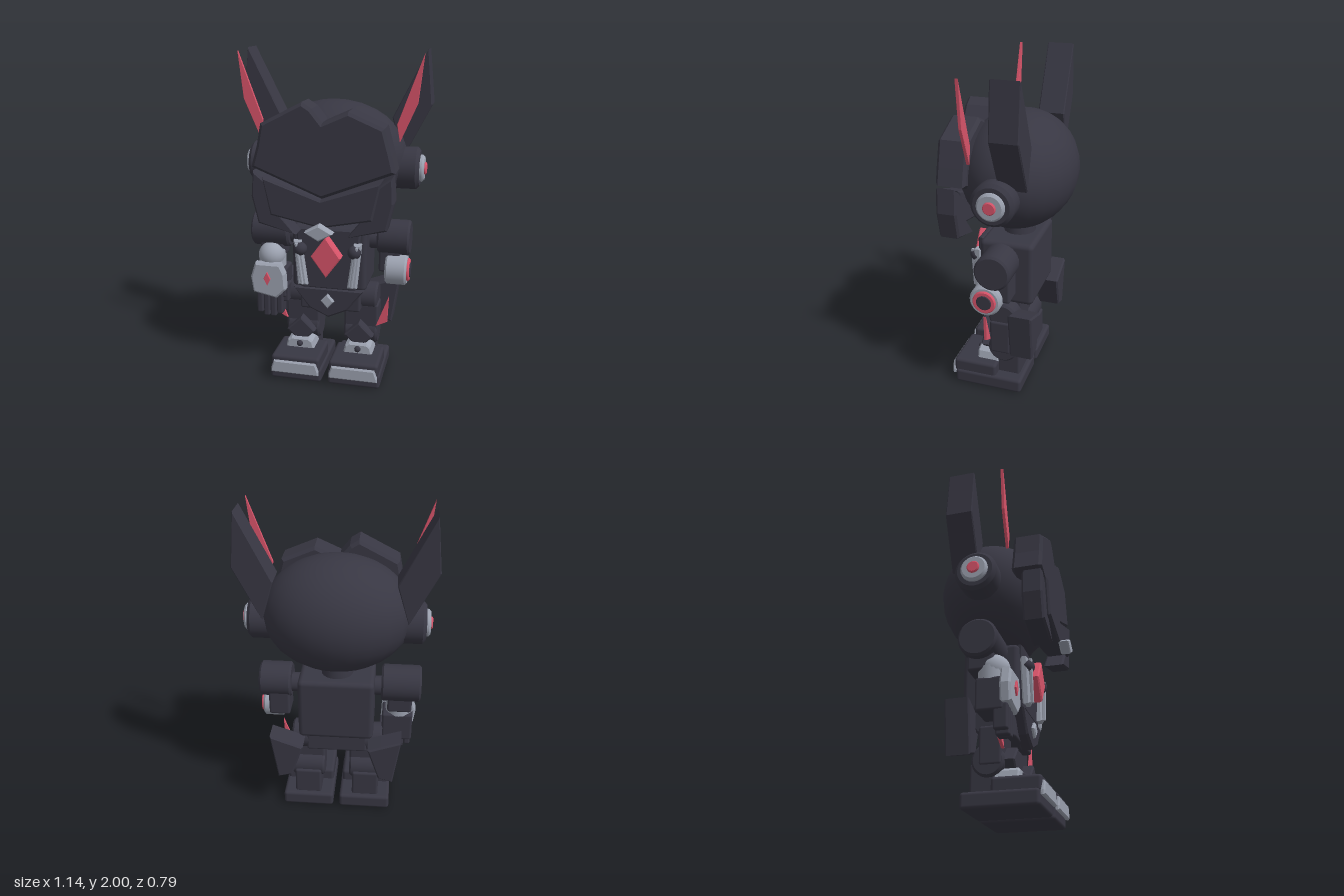
import * as THREE from 'three';
import { RoundedBoxGeometry } from 'three/addons/geometries/RoundedBoxGeometry.js';

const mat = (name, color) => Object.assign(new THREE.MeshStandardMaterial({ color }), { name });

export function createModel() {
  const root = new THREE.Group();
  root.name = 'robot';
  const dark = mat('charcoal', 0x383743), red = mat('crimson', 0xd8546a), grey = mat('steel grey', 0x9ca2b0);

  const add = (name, geo, m, x = 0, y = 0, z = 0) => {
    const mesh = new THREE.Mesh(geo, m);
    mesh.name = name;
    mesh.position.set(x, y, z);
    root.add(mesh);
    return mesh;
  };
  // Bevelled plate: outline in x/y, extruded from z0 to z1, optionally mirrored
  const plate = (name, m, pts, z0, z1, b = 0.012, side = 1) => {
    const shape = new THREE.Shape(pts.map(([x, y]) => new THREE.Vector2(x * side, y)));
    const geo = new THREE.ExtrudeGeometry(shape, {
      depth: z1 - z0 - 2 * b, bevelEnabled: b > 0, bevelThickness: b, bevelSize: b, bevelOffset: -b, bevelSegments: 1,
    });
    return add(name, geo, m, 0, 0, z0 + b);
  };
  const diamond = (name, m, x, y, w, h, z0, z1, b = 0.008) =>
    plate(name, m, [[x, y - h], [x + w, y], [x, y + h], [x - w, y]], z0, z1, b);
  const box = (name, m, x0, x1, y0, y1, z0, z1, r = 0.015) =>
    add(name, new RoundedBoxGeometry(x1 - x0, y1 - y0, z1 - z0, 2, r), m, (x0 + x1) / 2, (y0 + y1) / 2, (z0 + z1) / 2);
  // Chamfered drum lying along x
  const drum = (name, m, x0, x1, y, z, r, c = 0.012) => {
    const l = Math.abs(x1 - x0) / 2;
    const p = [[0, -l], [r - c, -l], [r - c, -l], [r, c - l], [r, c - l], [r, l - c], [r, l - c], [r - c, l], [r - c, l], [0, l]];
    const mesh = add(name, new THREE.LatheGeometry(p.map(([a, b]) => new THREE.Vector2(a, b)), 28), m, (x0 + x1) / 2, y, z);
    mesh.rotation.z = Math.PI / 2;
    return mesh;
  };

  // Head and helmet
  add('head', new THREE.SphereGeometry(1, 24, 16), dark, 0, 1.365, -0.05).scale.set(0.44, 0.345, 0.345);
  plate('helmetCrest', dark, [[0, 1.195], [0.415, 1.36], [0.39, 1.46], [0.35, 1.605], [0.15, 1.69], [0.005, 1.625],
    [-0.055, 1.7], [-0.11, 1.735], [-0.35, 1.61], [-0.375, 1.48], [-0.41, 1.36]], 0.135, 0.315, 0.018);
  plate('visor', dark, [[-0.34, 1.31], [0, 1.195], [0.34, 1.31], [0.295, 1.09], [0, 1.03], [-0.295, 1.09]], 0.2, 0.338);
  diamond('chin', grey, 0, 1.018, 0.083, 0.048, 0.335, 0.395);
  add('neck', new THREE.CylinderGeometry(0.09, 0.1, 0.12, 20), dark, 0, 0.99, -0.05);

  for (const s of [1, -1]) {
    plate('cheekGuard', dark, [[0.4, 1.34], [0.412, 1.19], [0.375, 1.03], [0.15, 0.975], [0.25, 1.1], [0.28, 1.25]], 0.195, 0.318, 0.012, s);
    // Ears
    plate('earBlade', dark, [[0.535, 2], [0.568, 1.69], [0.41, 1.38], [0.34, 1.61]], -0.22, -0.057, 0.006, s);
    plate('earInner', red, [[0.533, 1.99], [0.505, 1.72], [0.41, 1.5], [0.392, 1.6]], 0.106, 0.124, 0.002, s);
    drum('earHousing', dark, s * 0.36, s * 0.515, 1.32, -0.05, 0.125, 0.02);
    drum('earRing', grey, s * 0.5, s * 0.54, 1.32, -0.05, 0.08);
    drum('earCore', red, s * 0.52, s * 0.552, 1.32, -0.05, 0.037, 0.006);
  }

  // Torso
  box('torso', dark, -0.23, 0.23, 0.57, 0.97, -0.2, 0.13, 0.03);
  plate('chestPlate', dark, [[-0.2, 0.97], [0.2, 0.97], [0.17, 0.58], [-0.17, 0.58]], 0.11, 0.15);
  diamond('chestGem', red, 0, 0.808, 0.092, 0.128, 0.14, 0.215);
  for (const s of [1, -1]) {
    const strip = plate('chestVent', grey, [[0.16, 0.89], [0.208, 0.89], [0.182, 0.61], [0.122, 0.61]], 0.14, 0.185, 0.01, s);
    strip.rotation.x = -0.02;
    strip.position.z += 0.01;
    plate('ventRib', grey, [[0.176, 0.88], [0.192, 0.88], [0.16, 0.62], [0.144, 0.62]], 0.18, 0.2, 0.004, s);
    add('chestKnob', new THREE.SphereGeometry(0.041, 16, 12), dark, s * 0.165, 0.84, 0.17);
  }

  // Pelvis
  box('pelvis', dark, -0.19, 0.19, 0.42, 0.6, -0.12, 0.1);
  plate('waistGuard', dark, [[-0.22, 0.585], [0.22, 0.585], [0.12, 0.45], [0, 0.395], [-0.12, 0.45]], 0.08, 0.155);
  diamond('waistGem', grey, 0, 0.51, 0.042, 0.047, 0.145, 0.175);

  // Left arm with round cannon
  drum('shoulderLeft', dark, 0.28, 0.475, 0.89, -0.03, 0.108);
  drum('shoulderJoint', dark, 0.2, 0.3, 0.87, -0.03, 0.06);
  box('upperArmLeft', dark, 0.29, 0.42, 0.68, 0.87, -0.12, 0.04);
  drum('cannon', grey, 0.335, 0.466, 0.7, 0.015, 0.095);
  drum('cannonRing', red, 0.45, 0.48, 0.7, 0.015, 0.07, 0.006);
  drum('cannonBore', dark, 0.46, 0.484, 0.7, 0.015, 0.046, 0.004);

  // Right arm with armoured hand
  drum('shoulderRight', dark, -0.51, -0.27, 0.895, -0.03, 0.113);
  drum('shoulderJoint', dark, -0.3, -0.2, 0.87, -0.03, 0.06);
  box('upperArmRight', dark, -0.46, -0.31, 0.72, 0.87, -0.1, 0.05);
  add('wrist', new THREE.CylinderGeometry(0.085, 0.085, 0.08, 20), grey, -0.385, 0.7, 0.03);
  add('elbow', new THREE.SphereGeometry(0.085, 20, 14), grey, -0.385, 0.74, 0.04);
  box('palm', dark, -0.47, -0.28, 0.48, 0.67, -0.05, 0.11);
  plate('handGuard', grey, [[-0.465, 0.715], [-0.305, 0.715], [-0.275, 0.65], [-0.27, 0.55], [-0.33, 0.49], [-0.48, 0.52], [-0.495, 0.62]], 0.09, 0.153);
  diamond('handGem', red, -0.385, 0.62, 0.022, 0.045, 0.148, 0.165, 0.003);
  for (let i = 0; i < 4; i++) {
    const x = -0.466 + i * 0.043, y = i === 0 || i === 3 ? 0.375 : 0.355;
    box('finger', dark, x, x + 0.04, y, 0.52, 0.05, 0.13, 0.012);
  }
  box('thumb', dark, -0.31, -0.265, 0.45, 0.57, 0.02, 0.1, 0.012);

  for (const s of [1, -1]) {
    const b = (name, m, x0, x1, ...rest) => box(name, m, Math.min(s * x0, s * x1), Math.max(s * x0, s * x1), ...rest);
    // Hip skirts and fins
    plate('hipSkirt', dark, [[0.405, 0.592], [0.28, 0.55], [0.2, 0.52], [0.27, 0.31], [0.36, 0.285]], -0.245, -0.1, 0.01, s);
    plate('hipFin', red, [[0.362, 0.53], [0.284, 0.325], [0.355, 0.36]], 0.046, 0.064, 0.002, s);
    // Legs
    drum('hip', dark, s * 0.1, s * 0.285, 0.49, -0.03, 0.09);
    b('thigh', dark, 0.08, 0.295, 0.24, 0.46, -0.08, 0.05);
    drum('knee', dark, s * 0.08, s * 0.29, 0.27, -0.03, 0.092);
    diamond('kneeGuard', dark, s * 0.185, 0.27, 0.09, 0.088, 0.04, 0.115);
    b('shin', dark, 0.1, 0.27, 0.08, 0.26, -0.135, 0.01);
    plate('ankleGuard', grey, [[0.09, 0.15], [0.28, 0.15], [0.265, 0.21], [0.24, 0.228], [0.13, 0.228], [0.105, 0.21]], 0, 0.14, 0.01, s);
    add('anklePin', new THREE.SphereGeometry(0.02, 12, 8), dark, s * 0.185, 0.195, 0.143);
    // Feet
    b('sole', dark, 0.02, 0.345, 0, 0.092, -0.165, 0.265, 0.02);
    b('footUpper', dark, 0.03, 0.335, 0.07, 0.165, 0, 0.275, 0.02);
    plate('toePlate', grey, [[0.032, 0.055], [0.333, 0.055], [0.333, 0.08], [0.315, 0.135], [0.05, 0.135], [0.032, 0.08]], 0.262, 0.29, 0.008, s);
  }
  return root;
}
